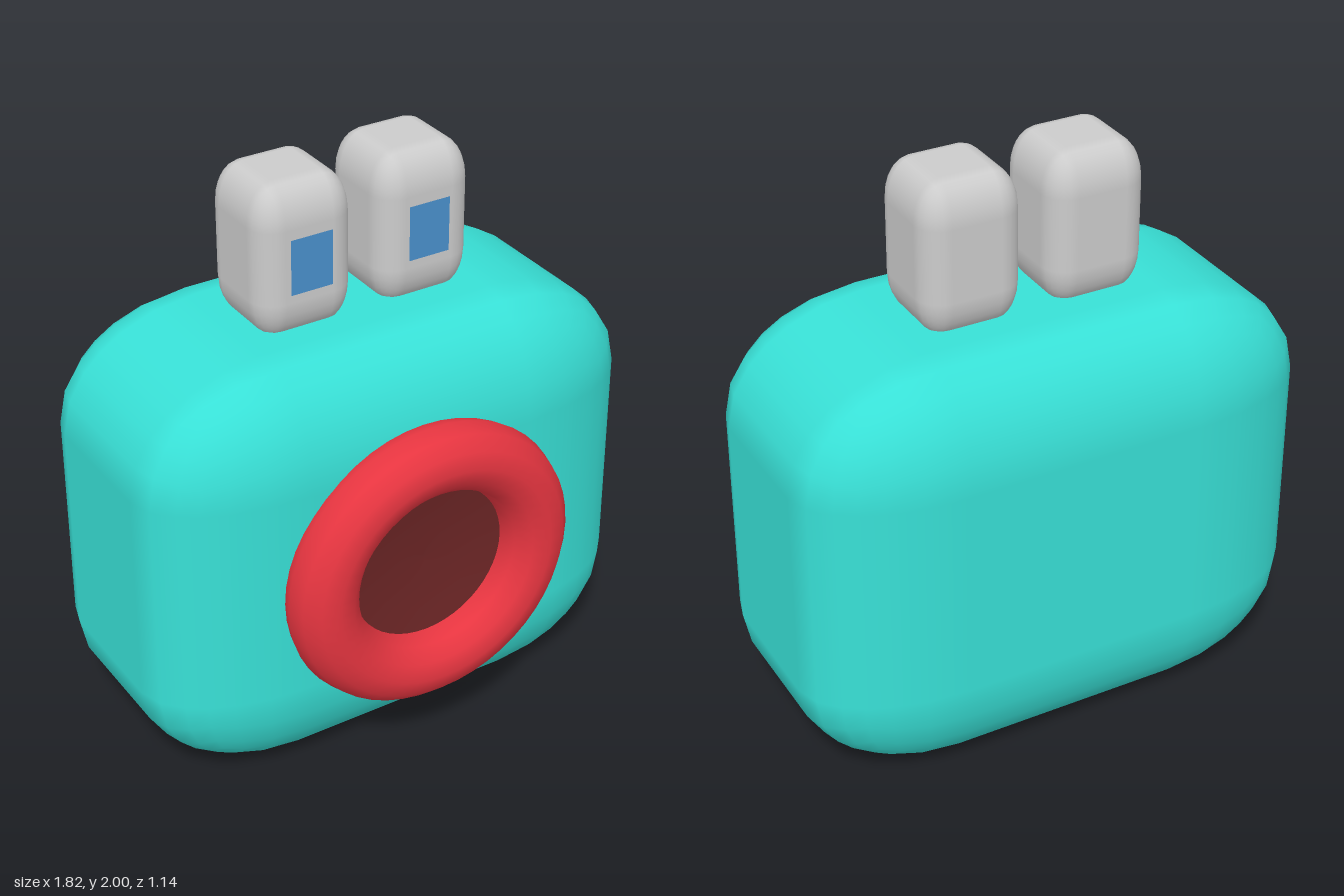
import * as THREE from 'three';
import { RoundedBoxGeometry } from 'three/addons/geometries/RoundedBoxGeometry.js';

const paint = (color) => new THREE.MeshStandardMaterial({ color });

// Box whose corners are ellipsoids with radii r = [rx, ry, rz]
function softBox([w, h, d], [rx, ry, rz]) {
  return new RoundedBoxGeometry(w / rx, h / ry, d / rz, 3, 1).scale(rx, ry, rz);
}

function addPart(parent, name, geometry, material, x, y, z) {
  const mesh = new THREE.Mesh(geometry, material);
  mesh.name = name;
  mesh.position.set(x, y, z);
  parent.add(mesh);
  return mesh;
}

export function createModel() {
  const model = new THREE.Group();
  model.name = 'boxCreature';

  const teal = paint(0x38e0d6);
  const red = paint(0xe63540);
  const darkRed = paint(0x6b2525);
  const grey = paint(0xcccccc);
  const blue = paint(0x4a90cc);

  // Pillow-shaped body
  addPart(model, 'body', softBox([1.82, 1.5, 0.99], [0.5, 0.38, 0.27]), teal, 0, 0.75, -0.075);

  // Round mouth: thick lips around a shallow bowl
  const mouth = new THREE.Group();
  mouth.name = 'mouth';
  mouth.position.set(0, 0.74, 0.45);
  mouth.scale.y = 0.967;
  model.add(mouth);
  addPart(mouth, 'lips', new THREE.TorusGeometry(0.405, 0.12, 12, 48), red, 0, 0, 0);

  const bowlProfile = [0, 0.1, 0.2, 0.3].map((r) => new THREE.Vector2(r, -0.025 + 0.28 * r * r));
  const bowl = new THREE.LatheGeometry(bowlProfile, 48).rotateX(Math.PI / 2);
  const bowlMaterial = darkRed;
  bowlMaterial.side = THREE.DoubleSide;
  addPart(mouth, 'mouthInside', bowl, bowlMaterial, 0, 0, 0);

  // Pair of upright eyes with square pupils
  const eyeGeometry = softBox([0.35, 0.53, 0.35], [0.09, 0.14, 0.09]);
  const pupilGeometry = new THREE.PlaneGeometry(0.15, 0.19);
  for (const [side, sign] of [['left', 1], ['right', -1]]) {
    addPart(model, side + 'Eye', eyeGeometry, grey, sign * 0.22, 1.735, -0.077);
    addPart(model, side + 'Pupil', pupilGeometry, blue, sign * 0.217, 1.735, 0.102);
  }

  return model;
}
